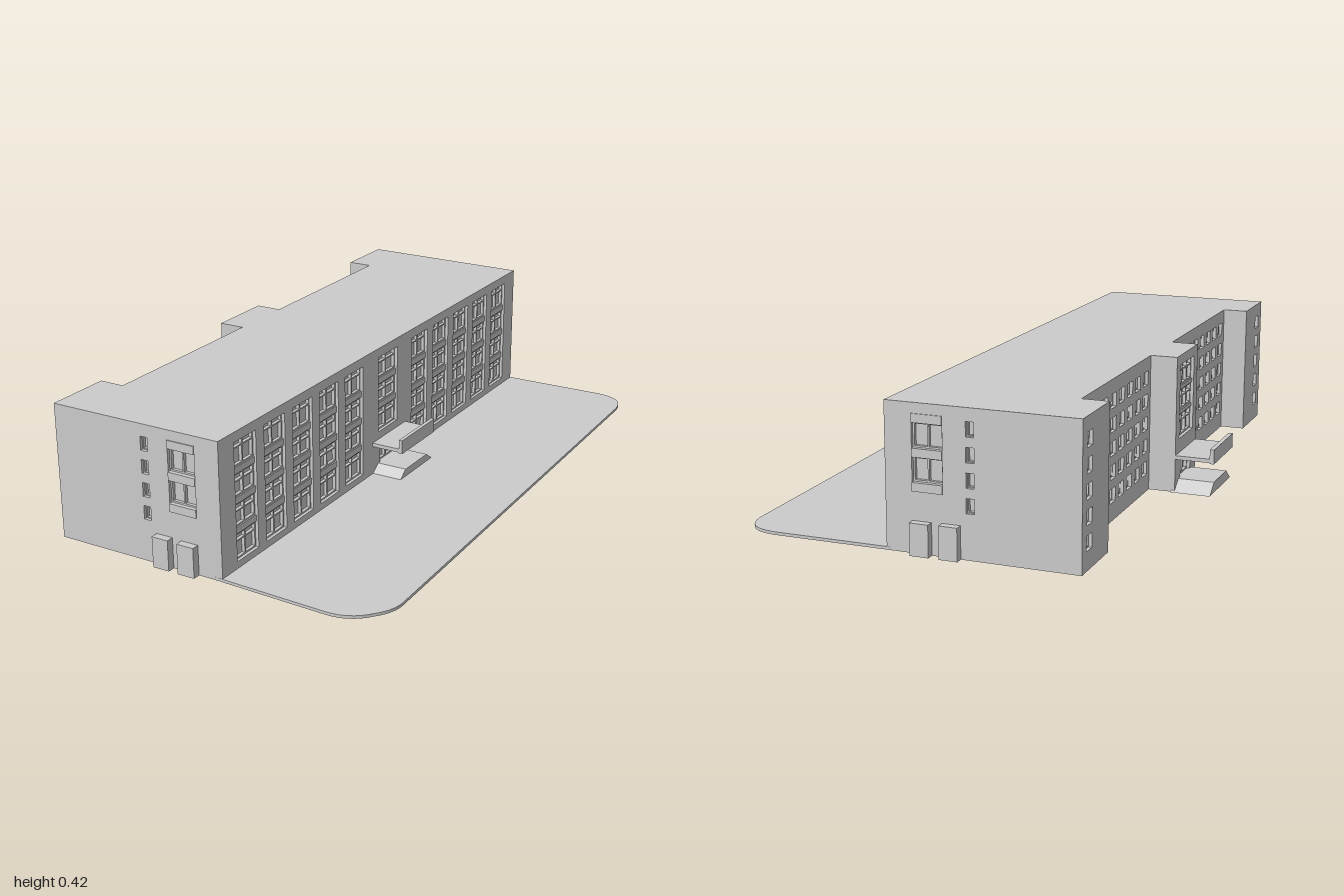
import * as THREE from 'three';
import { mergeGeometries } from 'three/addons/utils/BufferGeometryUtils.js';

const H = 0.42, T = 0.02; // building height, facade thickness
const mat = new THREE.MeshStandardMaterial({ color: 0xcccccc, flatShading: true });

function mesh(name, geo) {
  const m = new THREE.Mesh(geo, mat);
  m.name = name;
  return m;
}

// Box given by its min and max corners
function box(x0, x1, y0, y1, z0, z1) {
  return new THREE.BoxGeometry(x1 - x0, y1 - y0, z1 - z0)
    .translate((x0 + x1) / 2, (y0 + y1) / 2, (z0 + z1) / 2).toNonIndexed();
}

// Plan outline in [x, z], raised to a height
function prism(points, height) {
  const shape = new THREE.Shape(points.map(([x, z]) => new THREE.Vector2(x, -z)));
  return new THREE.ExtrudeGeometry(shape, { depth: height, bevelEnabled: false }).rotateX(-Math.PI / 2);
}

// Wall slab with openings; each opening gets a frame, mullions and floor bands
function wall(name, u0, u1, openings, extras = []) {
  const shape = new THREE.Shape([[u0, 0], [u1, 0], [u1, H], [u0, H]].map(p => new THREE.Vector2(...p)));
  const parts = [...extras];
  for (const { a, b, y0, y1, cols = 1, rows = 1, band = 0.02, bar = 0.005 } of openings) {
    shape.holes.push(new THREE.Path([[a, y0], [a, y1], [b, y1], [b, y0]].map(p => new THREE.Vector2(...p))));
    const pitch = (y1 - y0) / rows;
    for (let r = 0; r < rows; r++) {
      const lo = y0 + r * pitch + (r ? band / 2 : 0);
      const hi = y0 + (r + 1) * pitch - (r < rows - 1 ? band / 2 : 0);
      if (r) parts.push(box(a, b, lo - band, lo, -T, -0.006));
      for (let c = 0; c <= cols; c++) {
        const x = a + bar / 2 + (b - a - bar) * c / cols;
        parts.push(box(x - bar / 2, x + bar / 2, lo, hi, -T, -0.01));
      }
      parts.push(box(a, b, lo, lo + bar, -T, -0.01), box(a, b, hi - bar, hi, -T, -0.01));
      if (rows > 1) parts.push(box(a, b, hi - 0.026, hi - 0.022, -T, -0.01));
    }
  }
  const slab = new THREE.ExtrudeGeometry(shape, { depth: T, bevelEnabled: false }).translate(0, 0, -T);
  return mesh(name, mergeGeometries([slab, ...parts]));
}

function place(m, x, z, rot) {
  m.position.set(x, 0, z);
  m.rotation.y = rot;
  return m;
}

// Entrance: slab canopy with a fascia, landing with sloping sides (outward is +z)
function entrance(name) {
  const g = new THREE.Group();
  g.name = name;
  g.add(mesh('canopy', mergeGeometries([
    box(-0.107, 0.107, 0.103, 0.115, -0.01, 0.1),
    box(-0.107, 0.107, 0.1, 0.145, 0.095, 0.107)])));
  const ramp = new THREE.Shape([[-0.115, 0], [0.115, 0], [0.07, 0.033], [-0.07, 0.033]]
    .map(p => new THREE.Vector2(...p)));
  g.add(mesh('rampedLanding', new THREE.ExtrudeGeometry(ramp, { depth: 0.11, bevelEnabled: false })
    .translate(0, 0, -0.01)));
  return g;
}

export function createModel() {
  const root = new THREE.Group();
  root.name = 'building';
  const b = new THREE.Group();
  b.name = 'site';
  b.rotation.y = -0.175;
  root.add(b);

  // Inner block behind the facade slabs
  b.add(mesh('mainBlock', prism([
    [0.04, -0.905], [0.04, 0.905], [-0.485, 0.905], [-0.485, 0.715], [-0.405, 0.715],
    [-0.405, 0.1], [-0.488, 0.1], [-0.488, -0.117], [-0.405, -0.117],
    [-0.405, -0.72], [-0.485, -0.72], [-0.485, -0.905]], H)));

  // Front forecourt with rounded outer corners
  const s = new THREE.Shape();
  s.moveTo(0.03, 0.925);
  s.lineTo(0.03, -0.925);
  s.lineTo(0.4, -0.94);
  s.quadraticCurveTo(0.475, -0.942, 0.517, -0.885);
  s.quadraticCurveTo(0.56, -0.84, 0.555, -0.78);
  s.lineTo(0.518, 0.83);
  s.quadraticCurveTo(0.51, 0.925, 0.41, 0.93);
  b.add(mesh('forecourt', new THREE.ExtrudeGeometry(s, { depth: 0.009, bevelEnabled: false, curveSegments: 8 })
    .rotateX(-Math.PI / 2)));

  // Front facade: five tall window bays on each side of the entrance bay
  const front = [];
  for (let i = 0; i < 5; i++) {
    const c = 0.21 + i * 0.147;
    for (const u of [c, -c]) front.push({ a: u - 0.053, b: u + 0.053, y0: 0.03, y1: 0.39, cols: 2, rows: 4 });
  }
  front.push({ a: -0.06, b: 0.06, y0: 0.14, y1: 0.39, cols: 2, rows: 3 },
    { a: -0.05, b: 0.05, y0: 0.033, y1: 0.1, cols: 2 });
  b.add(place(wall('frontFacade', -0.925, 0.925, front), 0.06, 0, Math.PI / 2));

  // End walls: stair windows, small windows and two door boxes
  for (const side of [1, -1]) {
    const span = (p, q) => side > 0 ? [p, q] : [-q, -p];
    const [w0, w1] = span(-0.11, -0.02), [n0, n1] = span(-0.202, -0.178);
    const holes = [0.2, 0.295].map(y => ({ a: w0, b: w1, y0: y, y1: y + 0.07, cols: 2 }));
    for (let i = 0; i < 4; i++) {
      const y = 0.13 + i * 0.07;
      holes.push({ a: n0, b: n1, y0: y, y1: y + 0.042, bar: 0.003 });
    }
    const panels = [0.175, 0.27, 0.365].map(y => box(w0, w1, y, y + 0.025, -0.005, 0.003));
    const [e0, e1] = span(-0.505, 0.04);
    b.add(place(wall('endWall', e0, e1, holes, panels), 0, side * 0.925, side > 0 ? 0 : Math.PI));
    for (const [p, q, h] of [[-0.161, -0.107, 0.095], [-0.076, -0.02, 0.093]]) {
      const z = side * 0.925;
      b.add(mesh('doorPorch', box(p, q, 0, h, Math.min(z, z + side * 0.024), Math.max(z, z + side * 0.024))));
    }
  }

  // Rear walls: grids of five rows of windows
  const grid = (centres, w) => centres.flatMap(c => [0, 1, 2, 3, 4].map(r =>
    ({ a: c - w / 2, b: c + w / 2, y0: 0.055 + r * 0.07, y1: 0.097 + r * 0.07, cols: 2, bar: 0.004 })));
  const columns = (from, to, n) => Array.from({ length: n }, (_, i) => from + (to - from) * (i + 0.5) / n);
  const rear = (name, x, u0, u1, holes) => b.add(place(wall(name, u0, u1, holes), x, 0, -Math.PI / 2));
  rear('rearWing', -0.505, 0.715, 0.905, grid([0.865], 0.04));
  rear('rearWing', -0.505, -0.905, -0.72, grid([-0.87], 0.04));
  rear('rearWall', -0.425, 0.1, 0.715, grid(columns(0.11, 0.705, 8), 0.045));
  rear('rearWall', -0.425, -0.72, -0.117, grid(columns(-0.71, -0.127, 8), 0.045));
  rear('stairTower', -0.508, -0.117, 0.1, [
    { a: -0.08, b: 0.063, y0: 0.16, y1: 0.39, cols: 3, rows: 3, band: 0.012 },
    { a: -0.06, b: 0.043, y0: 0.033, y1: 0.1, cols: 2 }]);

  // Entrances, front and rear
  b.add(place(entrance('frontEntrance'), 0.06, -0.009, Math.PI / 2));
  const back = place(entrance('rearEntrance'), -0.508, -0.009, -Math.PI / 2);
  back.scale.z = 1.13;
  b.add(back);
  return root;
}
